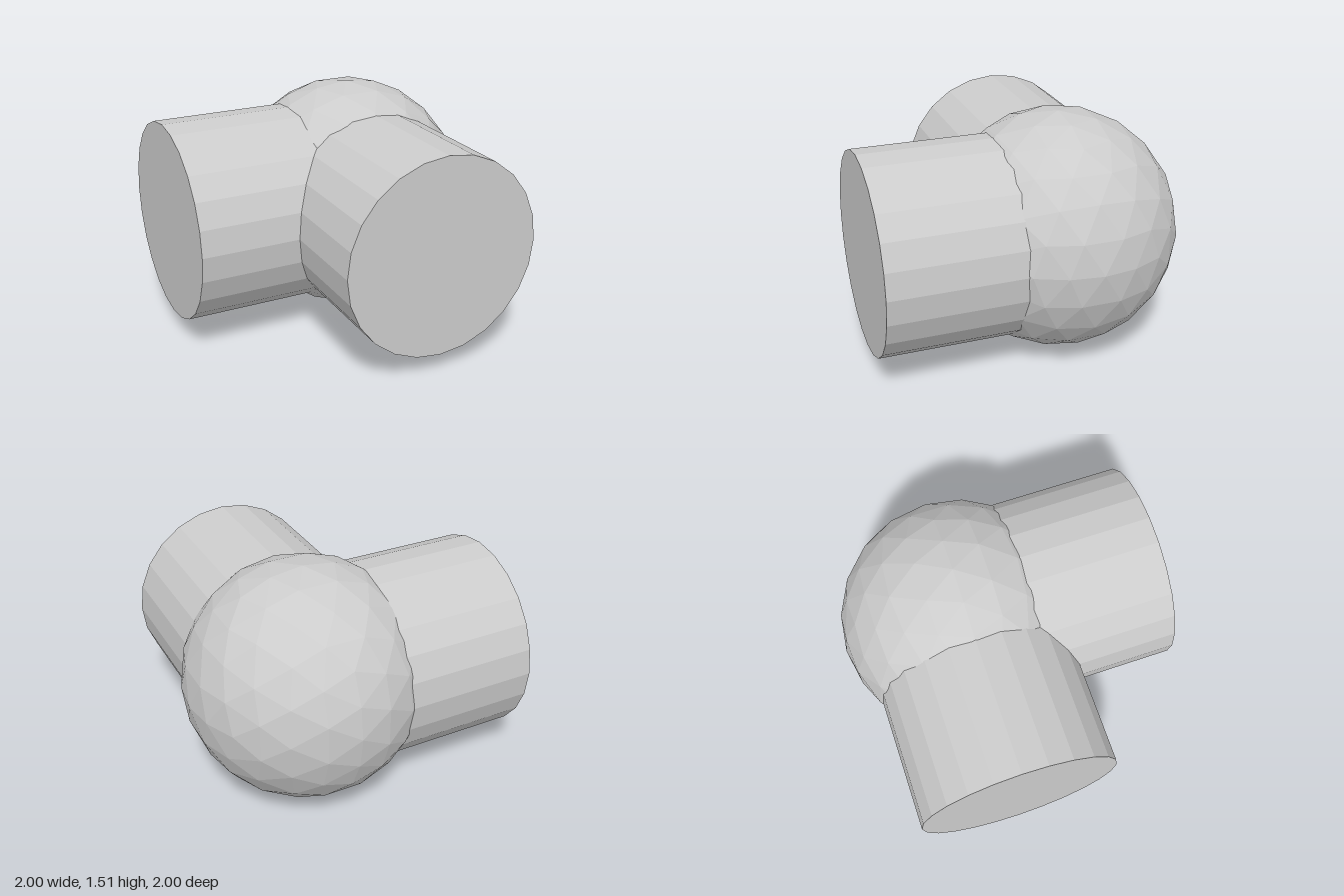
import * as THREE from 'three';

const RADIUS = 0.755, PIPE_RADIUS = 0.628, PIPE_LENGTH = 1.245;

// Faceted ball: split every triangle in four and push the new corners out to the sphere
function facetedBall(radius, levels) {
  const base = new THREE.IcosahedronGeometry(1, 0).getAttribute('position');
  let points = [];
  for (let i = 0; i < base.count; i++) points.push(new THREE.Vector3().fromBufferAttribute(base, i));
  const middle = (p, q) => p.clone().add(q).normalize();
  for (let level = 0; level < levels; level++) {
    const next = [];
    for (let i = 0; i < points.length; i += 3) {
      const [a, b, c] = points.slice(i, i + 3);
      const ab = middle(a, b), bc = middle(b, c), ca = middle(c, a);
      next.push(a, ab, ca, ab, b, bc, ca, bc, c, ab, bc, ca);
    }
    points = next;
  }
  const geometry = new THREE.BufferGeometry().setFromPoints(points);
  geometry.scale(radius, radius, radius);
  geometry.computeVertexNormals();
  return geometry;
}

export function createModel() {
  const model = new THREE.Group();
  model.name = 'pipeElbow';
  const material = new THREE.MeshStandardMaterial({ color: 0xcccccc, flatShading: true });

  const joint = new THREE.Group();
  joint.position.set(0.245, 0.76, -0.245);
  model.add(joint);

  // Ball at the corner
  const ball = new THREE.Mesh(facetedBall(RADIUS, 2), material);
  ball.name = 'cornerBall';
  joint.add(ball);

  // Two closed pipes running out from the ball centre
  const pipe = new THREE.CylinderGeometry(PIPE_RADIUS, PIPE_RADIUS, PIPE_LENGTH, 24);
  pipe.translate(0, PIPE_LENGTH / 2, 0);

  const sidePipe = new THREE.Mesh(pipe, material);
  sidePipe.name = 'rightPipe';
  sidePipe.rotation.z = Math.PI / 2;

  const frontPipe = new THREE.Mesh(pipe, material);
  frontPipe.name = 'frontPipe';
  frontPipe.rotation.x = Math.PI / 2;

  joint.add(sidePipe, frontPipe);
  return model;
}
